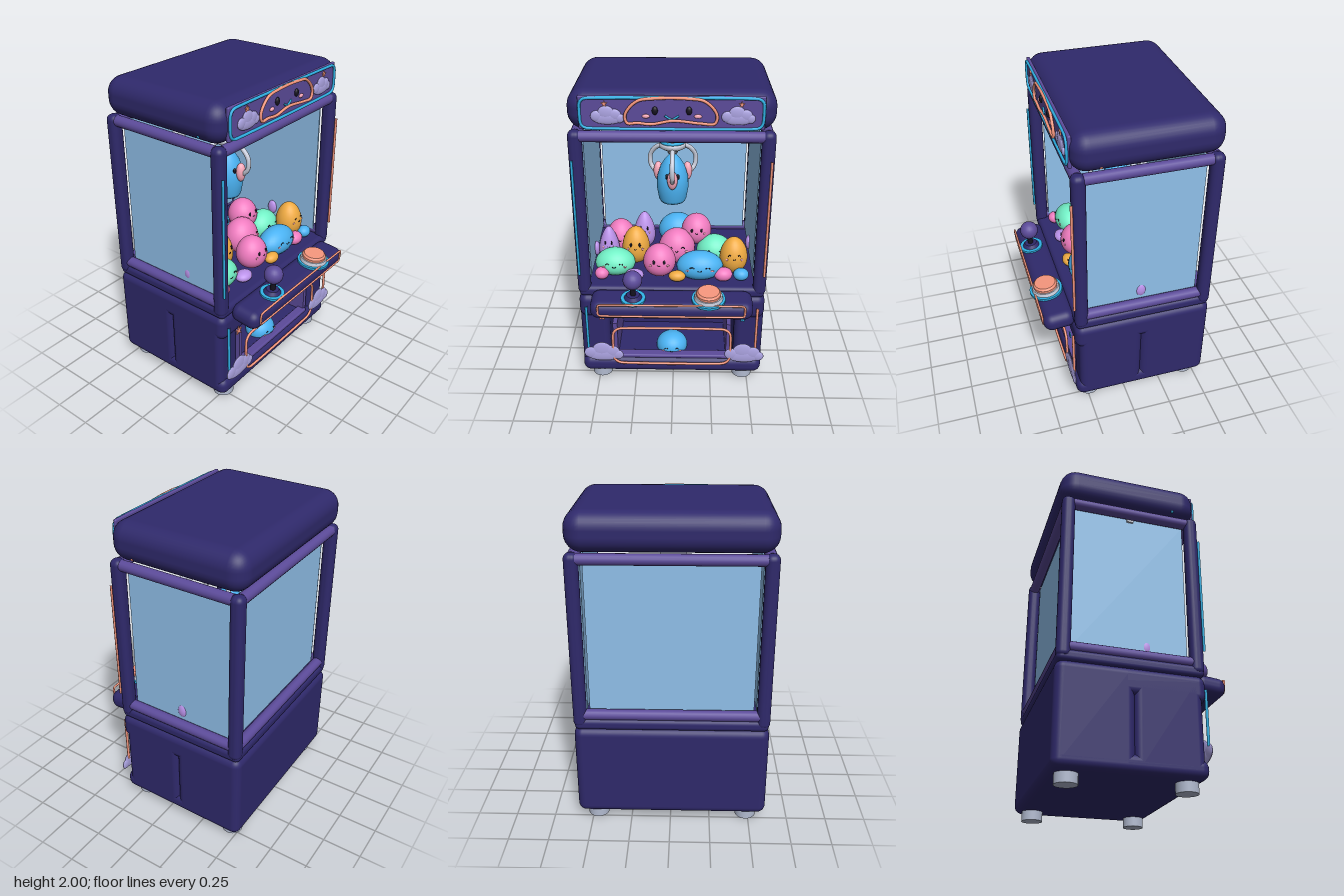
import * as THREE from 'three';
import { RoundedBoxGeometry } from 'three/addons/geometries/RoundedBoxGeometry.js';

const C = { navy: 0x2f296b, purple: 0x5c4b9a, glass: 0x90c0ea, cyan: 0x2fb0e4, coral: 0xf5967d, cloud: 0xaca4e2,
  metal: 0xccd1e0, black: 0x15131f, pink: 0xf07cc0, blush: 0xf8a9ba, lilac: 0xbb92ea, gold: 0xf0ab42, mint: 0x72f0c6, blue: 0x4ab2f2, foot: 0xb2bbd0 };
const mats = {};
const mat = c => mats[c] ??= new THREE.MeshStandardMaterial({ color: C[c] });
const V = (x, y, z) => new THREE.Vector3(x, y, z);

function add(parent, name, geo, color, pos = [0, 0, 0]) {
  const m = new THREE.Mesh(geo, mat(color));
  m.name = name;
  m.position.set(...pos);
  parent.add(m);
  return m;
}
function section(root, name, x = 0, y = 0, z = 0) {
  const g = new THREE.Group();
  g.name = name;
  g.position.set(x, y, z);
  root.add(g);
  return g;
}
// Rounded box given by its limits on each axis
function block(parent, name, color, [x0, x1], [y0, y1], [z0, z1], r) {
  return add(parent, name, new RoundedBoxGeometry(x1 - x0, y1 - y0, z1 - z0, 4, r), color,
    [(x0 + x1) / 2, (y0 + y1) / 2, (z0 + z1) / 2]);
}
function tube(parent, name, color, pts, r, closed = false, segs = 60) {
  return add(parent, name, new THREE.TubeGeometry(new THREE.CatmullRomCurve3(pts, closed, 'centripetal'), segs, r, 8, closed), color);
}
function ball(parent, name, color, pos, s) {
  const m = add(parent, name, new THREE.SphereGeometry(1, 20, 14), color, pos);
  m.scale.set(...s);
  return m;
}
// Rounded rectangle of neon tubing in an xy plane
function neonFrame(parent, name, color, [x0, x1], [y0, y1], z, r, t) {
  const pts = [];
  [[x1 - r, y1 - r], [x0 + r, y1 - r], [x0 + r, y0 + r], [x1 - r, y0 + r]].forEach(([cx, cy], q) => {
    for (let i = 0; i <= 5; i++) {
      const a = (q + i / 5) * Math.PI / 2;
      pts.push(V(cx + r * Math.cos(a), cy + r * Math.sin(a), z));
    }
  });
  tube(parent, name, color, pts, t, true, 120);
}
// Puffy cloud of flattened balls, s is half its width
function cloud(parent, x, y, z, s) {
  const g = section(parent, 'cloud', x, y, z);
  for (const [px, py, rx, ry] of [[0, -0.12, 0.9, 0.36], [-0.64, 0.02, 0.36, 0.34], [-0.08, 0.2, 0.5, 0.46], [0.42, 0.08, 0.4, 0.38], [0.72, -0.1, 0.28, 0.28]])
    ball(g, 'cloudPuff', 'cloud', [px * s, py * s, 0], [rx * s, ry * s, 0.011]);
}
function star(parent, color, x, y, z, s) {
  const pts = Array.from({ length: 10 }, (_, i) => {
    const a = Math.PI / 2 + i * Math.PI / 5, r = i % 2 ? s * 0.45 : s;
    return new THREE.Vector2(r * Math.cos(a), r * Math.sin(a));
  });
  add(parent, 'star', new THREE.ExtrudeGeometry(new THREE.Shape(pts), { depth: 0.008, bevelEnabled: false }), color, [x, y, z]);
}
// Egg-shaped plush; taper narrows the top, mood picks the eyes
function plush(parent, color, pos, s, taper = 0, mood = 'open') {
  const g = section(parent, 'plush', ...pos);
  g.scale.set(...s);
  const rad = y => Math.sqrt(Math.max(0, 1 - y * y)) * (1 - taper * y);
  const prof = Array.from({ length: 19 }, (_, i) => {
    const y = -Math.cos(i / 18 * Math.PI);
    return new THREE.Vector2(rad(y), y);
  });
  add(g, 'plushBody', new THREE.LatheGeometry(prof, 28), color);
  if (mood === 'none') return;
  const at = (x, y) => [x, y, Math.sqrt(Math.max(0, rad(y) ** 2 - x * x))];
  for (const k of [-1, 1]) {
    if (mood === 'open') ball(g, 'eye', 'black', at(k * 0.32, 0.25), [0.08, 0.13, 0.06]);
    else add(g, 'closedEye', new THREE.TorusGeometry(0.09, 0.025, 6, 12, Math.PI), 'black', at(k * 0.34, 0.2));
    ball(g, 'cheek', 'blush', at(k * 0.52, 0.02), [0.1, 0.06, 0.04]);
  }
  add(g, 'mouth', new THREE.TorusGeometry(0.08, 0.025, 6, 12, Math.PI), 'black', at(0, 0.1)).rotation.z = Math.PI;
}

function buildBase(root) {
  const g = section(root, 'base', -0.008);
  block(g, 'rearCabinet', 'navy', [-0.597, 0.597], [0.06, 0.67], [-0.548, -0.09], 0.05);
  block(g, 'upperBeam', 'navy', [-0.597, 0.597], [0.5, 0.67], [-0.548, 0.335], 0.05);
  block(g, 'plinth', 'navy', [-0.597, 0.597], [0.06, 0.175], [-0.548, 0.335], 0.05);
  block(g, 'cabinFloor', 'navy', [-0.59, 0.59], [0.66, 0.735], [-0.54, 0.33], 0.03);
  block(g, 'chuteSill', 'purple', [-0.38, 0.38], [0.165, 0.192], [0.25, 0.315], 0.01);
  for (const k of [-1, 1]) {
    block(g, 'sidePanel', 'navy', [k * 0.503 - 0.094, k * 0.503 + 0.094], [0.07, 0.66], [-0.1, 0.31], 0.045);
    add(g, 'chuteWall', new THREE.BoxGeometry(0.03, 0.26, 0.38), 'purple', [k * 0.375, 0.305, 0.11]);
    for (const z of [0.235, -0.445])
      add(g, 'foot', new THREE.CylinderGeometry(0.066, 0.066, 0.07, 24), 'foot', [k * 0.477, 0.035, z]);
    tube(g, 'lowerNeon', k < 0 ? 'cyan' : 'coral', [V(k * 0.55, 0.26, 0.345), V(k * 0.55, 0.6, 0.345)], 0.009, false, 4);
    cloud(g, k * 0.464 + 0.014, 0.235, 0.352, 0.13);
  }
  star(g, 'coral', -0.452, 0.52, 0.34, 0.03);
  star(g, 'cyan', 0.458, 0.51, 0.34, 0.022);
  neonFrame(g, 'chuteFrame', 'coral', [-0.385, 0.385], [0.155, 0.435], 0.352, 0.06, 0.009);
  plush(g, 'blue', [-0.002, 0.19, 0.18], [0.105, 0.09, 0.1], 0, 'closed');
}

function buildCabin(root) {
  const g = section(root, 'cabin', -0.008);
  for (const k of [-1, 1]) {
    for (const z of [0.293, -0.503])
      block(g, 'post', 'navy', [k * 0.556 - 0.041, k * 0.556 + 0.041], [0.68, 1.77], [z - 0.041, z + 0.041], 0.035);
    for (const y of [0.757, 1.733])
      add(g, 'sideRail', new THREE.CylinderGeometry(0.034, 0.034, 0.74, 16), 'purple', [k * 0.555, y, -0.105]).rotation.x = Math.PI / 2;
    add(g, 'sideGlass', new THREE.BoxGeometry(0.01, 0.95, 0.71), 'glass', [k * 0.52, 1.245, -0.105]);
    tube(g, 'postNeon', k < 0 ? 'cyan' : 'coral', [V(k * 0.578, 0.83, 0.338), V(k * 0.578, 1.6, 0.338)], 0.008, false, 4);
  }
  for (const [y, z] of [[1.733, 0.295], [1.733, -0.505], [0.757, -0.505]])
    add(g, 'crossRail', new THREE.CylinderGeometry(0.034, 0.034, 1.06, 16), 'purple', [0, y, z]).rotation.z = Math.PI / 2;
  add(g, 'rearGlass', new THREE.BoxGeometry(1.0, 0.95, 0.01), 'glass', [0, 1.245, -0.465]);
}

function buildRoof(root) {
  const g = section(root, 'roof');
  block(g, 'roofBody', 'navy', [-0.605, 0.589], [1.762, 2], [-0.55, 0.33], 0.1);
  block(g, 'signBoard', 'purple', [-0.53, 0.515], [1.787, 1.982], [0.312, 0.334], 0.008);
  neonFrame(g, 'signNeon', 'cyan', [-0.52, 0.505], [1.797, 1.97], 0.338, 0.04, 0.009);
  const edge = [[-0.255, 1.83], [-0.265, 1.88], [-0.2, 1.955], [-0.1, 1.972], [0.08, 1.972], [0.18, 1.955], [0.245, 1.88],
    [0.235, 1.83], [0.16, 1.83], [0, 1.845], [-0.12, 1.825], [-0.2, 1.832]];
  tube(g, 'faceOutline', 'coral', edge.map(([x, y]) => V(x, y, 0.347)), 0.009, true, 90);
  for (const k of [-1, 1]) {
    ball(g, 'signEye', 'black', [k * 0.095 - 0.005, 1.9, 0.338], [0.017, 0.024, 0.012]);
    ball(g, 'signCheek', 'blush', [k * 0.145 - 0.005, 1.868, 0.338], [0.022, 0.012, 0.008]);
    cloud(g, k * 0.365, 1.865, 0.338, 0.095);
    star(g, 'coral', k * 0.38, 1.938, 0.336, 0.018);
    ball(g, 'bulb', k < 0 ? 'cyan' : 'coral', [k * 0.573 - 0.008, 1.803, 0.17], [0.01, 0.01, 0.01]);
  }
  tube(g, 'signSmile', 'cyan', [V(-0.045, 1.872, 0.34), V(-0.005, 1.852, 0.342), V(0.035, 1.872, 0.34)], 0.006, false, 16);
}

function buildConsole(root) {
  const g = section(root, 'console', 0, 0.665, 0.41);
  g.rotation.x = 0.1;
  block(g, 'consoleBody', 'navy', [-0.515, 0.5], [-0.06, 0.06], [-0.1, 0.1], 0.055);
  neonFrame(g, 'consoleNeon', 'coral', [-0.46, 0.445], [-0.015, 0.07], 0.1, 0.015, 0.007);
  const disc = (name, color, x, y, r0, r1, h) => add(g, name, new THREE.CylinderGeometry(r1, r0, h, 32), color, [x, y, 0.022]);
  // Joystick
  disc('joystickRing', 'cyan', -0.245, 0.064, 0.077, 0.077, 0.016);
  disc('joystickCollar', 'navy', -0.245, 0.082, 0.057, 0.04, 0.025);
  disc('joystickShaft', 'black', -0.245, 0.14, 0.018, 0.016, 0.12);
  ball(g, 'joystickBall', 'purple', [-0.245, 0.2, 0.016], [0.06, 0.06, 0.06]);
  // Push button
  disc('buttonRing', 'cyan', 0.222, 0.066, 0.105, 0.105, 0.016);
  disc('buttonCollar', 'metal', 0.222, 0.085, 0.09, 0.085, 0.026);
  disc('buttonBase', 'coral', 0.222, 0.102, 0.077, 0.077, 0.022);
  disc('buttonCap', 'coral', 0.222, 0.119, 0.077, 0.066, 0.014);
}

function buildClaw(root) {
  const g = section(root, 'claw', -0.01, 0, -0.1);
  add(g, 'clawMount', new THREE.BoxGeometry(0.16, 0.05, 0.12), 'metal', [0, 1.675, 0]);
  add(g, 'gantryBar', new THREE.BoxGeometry(1.07, 0.035, 0.04), 'metal', [0, 1.708, 0]);
  const coil = Array.from({ length: 41 }, (_, i) => V(0.02 * Math.cos(i * 0.785), 1.59 + i * 0.0016, 0.02 * Math.sin(i * 0.785)));
  tube(g, 'spring', 'black', coil, 0.005, false, 120);
  const hub = [[0, 1.48], [0.03, 1.48], [0.04, 1.505], [0.06, 1.51], [0.085, 1.525], [0.085, 1.55], [0.065, 1.57], [0.065, 1.6], [0, 1.6]];
  add(g, 'clawHub', new THREE.LatheGeometry(hub.map(p => new THREE.Vector2(...p)), 28), 'metal');
  add(g, 'hubRing', new THREE.TorusGeometry(0.074, 0.01, 8, 28), 'cyan', [0, 1.562, 0]).rotation.x = Math.PI / 2;
  for (let i = 0; i < 3; i++) {
    const arm = section(g, 'clawArm');
    arm.rotation.y = -Math.PI / 2 + i * Math.PI * 2 / 3;
    tube(arm, 'clawFinger', 'metal', [V(0.06, 1.525, 0), V(0.12, 1.5, 0), V(0.168, 1.44, 0), V(0.165, 1.37, 0), V(0.12, 1.32, 0)], 0.015, false, 24);
    ball(arm, 'clawTip', 'blush', [0.11, 1.335, 0], [0.03, 0.063, 0.033]);
  }
  const body = [[0, 1.15], [0.08, 1.15], [0.09, 1.17], [0.104, 1.25], [0.1, 1.32], [0.08, 1.39], [0.05, 1.44], [0.025, 1.467], [0, 1.475]];
  add(g, 'heldPlush', new THREE.LatheGeometry(body.map(p => new THREE.Vector2(...p)), 28), 'blue');
  for (const k of [-1, 1]) ball(g, 'heldEye', 'black', [k * 0.035, 1.35, 0.088], [0.01, 0.018, 0.01]);
}

function buildPile(root) {
  const g = section(root, 'plushPile');
  // colour, position, half sizes, taper, mood
  const pile = [
    ['lilac', [-0.43, 0.87, 0.0], [0.065, 0.13, 0.065], 0.35],
    ['pink', [-0.36, 0.87, -0.12], [0.1, 0.12, 0.1], 0.1],
    ['lilac', [-0.2, 0.92, -0.12], [0.07, 0.13, 0.07], 0.3],
    ['gold', [-0.25, 0.88, 0.02], [0.09, 0.13, 0.09], 0.15],
    ['mint', [-0.38, 0.815, 0.13], [0.13, 0.09, 0.1], 0.1, 'closed'],
    ['pink', [-0.09, 0.845, 0.16], [0.105, 0.11, 0.1], 0.08],
    ['pink', [0.02, 0.86, -0.01], [0.12, 0.12, 0.11], 0.1, 'closed'],
    ['pink', [0.15, 0.94, -0.1], [0.1, 0.105, 0.1], 0.08],
    ['mint', [0.27, 0.83, -0.02], [0.12, 0.1, 0.1], 0.1, 'closed'],
    ['blue', [0.17, 0.815, 0.17], [0.15, 0.095, 0.1], 0.08, 'closed'],
    ['gold', [0.39, 0.865, 0.12], [0.09, 0.125, 0.09], 0.12, 'closed'],
    ['blue', [0.02, 0.86, -0.26], [0.13, 0.11, 0.11], 0.1],
    ['pink', [-0.46, 0.775, 0.22], [0.045, 0.04, 0.045], 0, 'none'],
    ['lilac', [-0.25, 0.765, 0.22], [0.06, 0.035, 0.05], 0, 'none'],
    ['gold', [0.025, 0.77, 0.24], [0.055, 0.035, 0.04], 0, 'none'],
    ['pink', [0.32, 0.775, 0.22], [0.06, 0.045, 0.05], 0, 'none'],
    ['blue', [0.435, 0.775, 0.22], [0.05, 0.04, 0.045], 0, 'none'],
    ['lilac', [0.505, 0.835, -0.1], [0.022, 0.05, 0.035], 0, 'none'],
    ['lilac', [-0.515, 0.835, 0], [0.022, 0.05, 0.035], 0, 'none'],
  ];
  pile.forEach(p => plush(g, ...p));
}

export function createModel() {
  const root = new THREE.Group();
  root.name = 'clawMachine';
  [buildBase, buildCabin, buildRoof, buildConsole, buildClaw, buildPile].forEach(f => f(root));
  return root;
}
